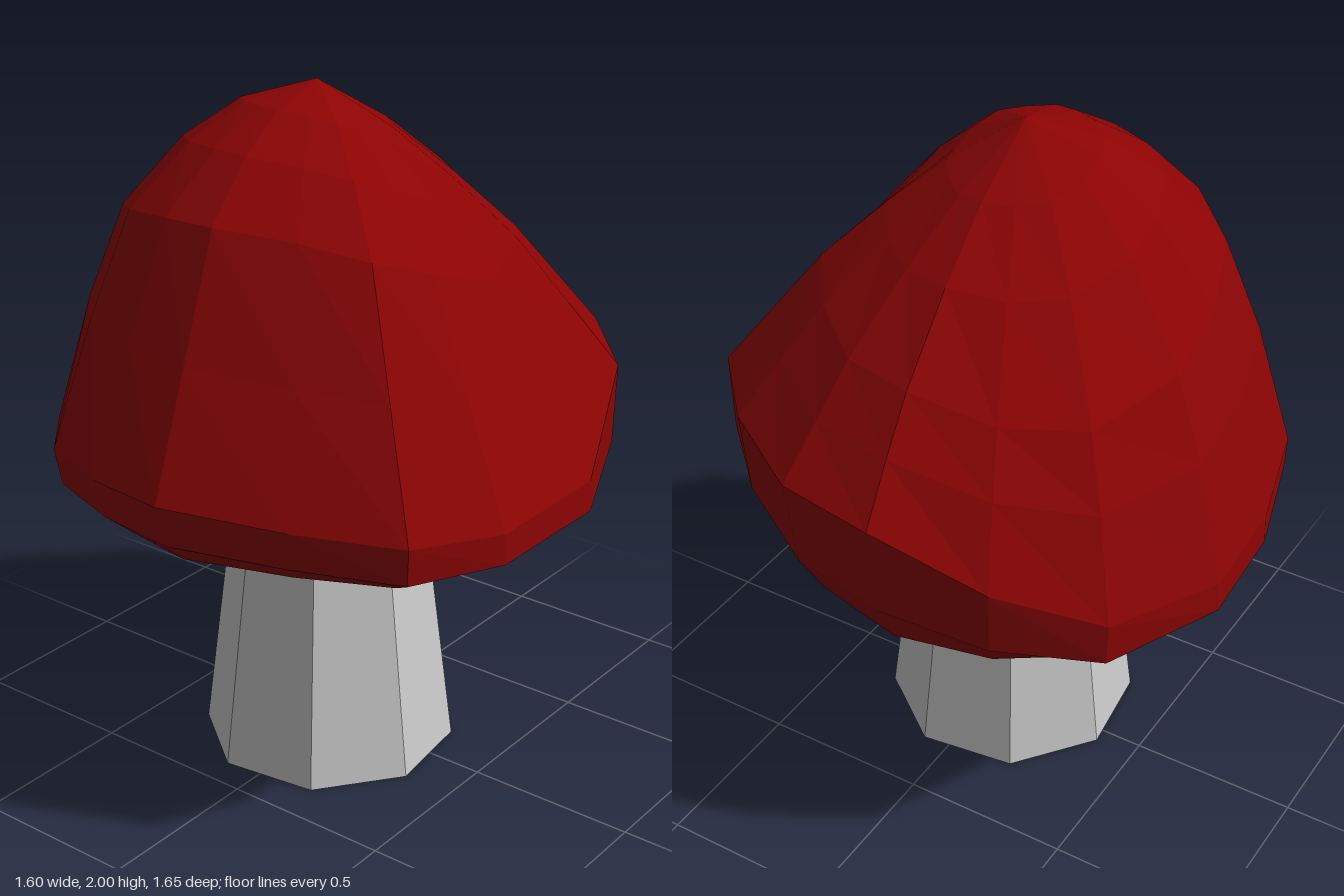
import * as THREE from 'three';

// Cap rim, clockwise from the back: x, z, height
const RIM = [
  [-0.11, -0.83, 1.23], [0.18, -0.79, 1.24], [0.47, -0.6, 1.24], [0.69, -0.36, 1.22],
  [0.79, -0.07, 1.0], [0.77, 0.31, 0.98], [0.65, 0.57, 1.0], [0.36, 0.7, 1.01],
  [0.02, 0.82, 1.03], [-0.24, 0.78, 1.02], [-0.5, 0.67, 1.0], [-0.71, 0.44, 0.97],
  [-0.79, 0.13, 0.92], [-0.8, -0.18, 0.9], [-0.66, -0.54, 0.95], [-0.41, -0.73, 1.08],
];
const APEX = [-0.05, 2, 0.05];
const AXIS = [-0.015, 0.05]; // stem centre in x, z

// Point on the dome: k = 1 at the shoulder, 0 at the apex; fullness varies around the cap
function domePoint([x, z, y], k) {
  const r = Math.hypot(x, z);
  const cx = x / r, cz = z / r;
  const s = k * (0.69 - 0.06 * cx - 0.05 * cz);
  const p = 1.48 - 0.2 * cx + 0.26 * cz;
  const t = Math.pow(1 - Math.pow(s, p), 1 / p);
  return [
    APEX[0] + (x - APEX[0]) * s,
    y + (APEX[1] - y) * t,
    APEX[2] + (z - APEX[2]) * s,
  ];
}

// Point halfway from rim to shoulder, swelling a little on the -x flank
function flankPoint([x, z, y]) {
  const [sx, sy, sz] = domePoint([x, z, y], 1);
  return [(x + sx) / 2, (y + sy) / 2 + 0.07 * Math.max(0, -x), (z + sz) / 2];
}

// Point under the rim: scaled towards the stem, height given by a rule
function underPoint([x, z, y], s, height) {
  const lip = 0.82 + 0.05 * x + 0.02 * z - 0.08 * x * z;
  return [AXIS[0] + (x - AXIS[0]) * s, height(lip, y), AXIS[1] + (z - AXIS[1]) * s];
}

function capGeometry() {
  // Rings from apex down over the rim and up into the hollow underside
  const rings = [
    ...[0, 0.38, 0.68, 1].map((k) => RIM.map((r) => domePoint(r, k))),
    RIM.map(flankPoint),
    RIM.map(([x, z, y]) => [x, y, z]),
    RIM.map((r) => underPoint(r, 0.955 + 0.08 * r[0] * r[0], (lip, y) => lip + (y - lip) * 0.35)),
    RIM.map((r) => underPoint(r, 0.86, (lip) => lip)),
    RIM.map((r) => underPoint(r, 0.58, () => 0.89)),
    RIM.map((r) => underPoint(r, 0.3, () => 0.95)),
    RIM.map((r) => underPoint(r, 0, () => 0.96)),
  ];
  const n = RIM.length;
  const index = [];
  for (let i = 0; i < rings.length - 1; i++) {
    for (let j = 0; j < n; j++) {
      const a = i * n + j, b = i * n + (j + 1) % n;
      const c = a + n, d = b + n;
      if (i > 0) index.push(a, b, c);
      if (i < rings.length - 2) index.push(b, d, c);
    }
  }
  const geo = new THREE.BufferGeometry();
  geo.setAttribute('position', new THREE.Float32BufferAttribute(rings.flat(2), 3));
  geo.setIndex(index);
  geo.computeVertexNormals();
  return geo;
}

export function createModel() {
  const model = new THREE.Group();
  model.name = 'mushroom';

  // Cap
  const cap = new THREE.Mesh(
    capGeometry(),
    new THREE.MeshStandardMaterial({ color: 0x8c0404, flatShading: true }),
  );
  cap.name = 'cap';

  // Tapered eight-sided stem, open at both ends
  const stem = new THREE.Mesh(
    new THREE.CylinderGeometry(0.255, 0.375, 0.96, 8, 1, true, Math.PI / 6),
    new THREE.MeshStandardMaterial({ color: 0xe6e4e3, flatShading: true, side: THREE.DoubleSide }),
  );
  stem.name = 'stem';
  stem.position.set(AXIS[0], 0.48, AXIS[1]);

  model.add(cap, stem);
  return model;
}
